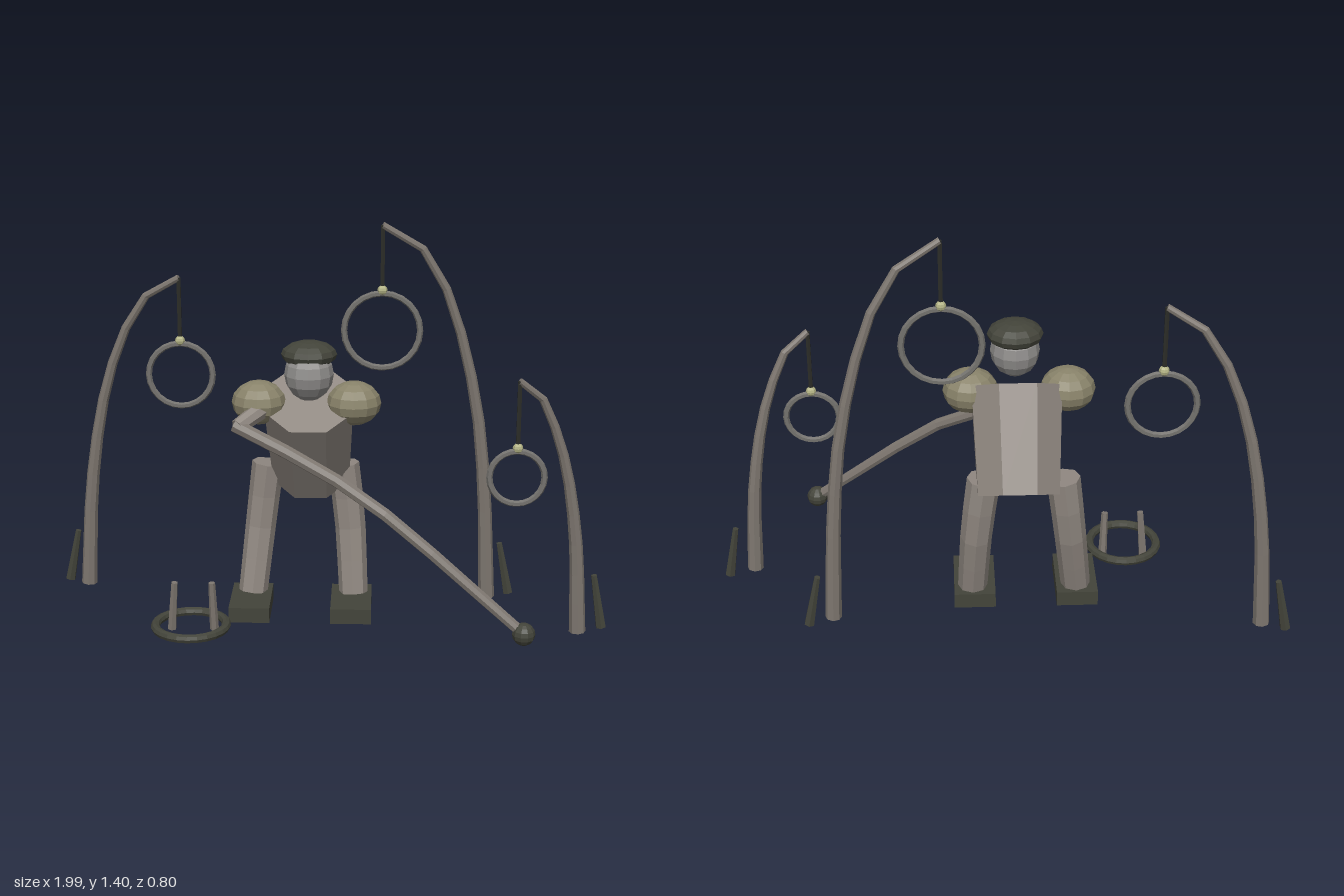
import * as THREE from 'three';

const paint = (name, color) => {
  const m = new THREE.MeshStandardMaterial({ color });
  m.name = name;
  return m;
};
const V = (p) => new THREE.Vector3(...p);

// Faceted copy of a geometry
function facet(geo) {
  const g = geo.index ? geo.toNonIndexed() : geo;
  g.computeVertexNormals();
  return g;
}

// Capped tube through points, its radius running from r0 to r1
function taperedTube(points, r0, r1, segments, sides) {
  const curve = new THREE.CatmullRomCurve3(points.map(V), false, 'centripetal');
  const tube = new THREE.TubeGeometry(curve, segments, 1, sides, false);
  const pos = tube.attributes.position;
  const verts = [];
  const index = [...tube.index.array];
  const p = new THREE.Vector3();
  for (let i = 0; i <= segments; i++) {
    const c = curve.getPointAt(i / segments);
    const r = r0 + (r1 - r0) * (i / segments);
    for (let j = 0; j <= sides; j++) {
      p.fromBufferAttribute(pos, i * (sides + 1) + j).sub(c).multiplyScalar(r).add(c);
      verts.push(p.x, p.y, p.z);
    }
  }
  const start = verts.length / 3;
  const last = segments * (sides + 1);
  verts.push(...curve.getPoint(0).toArray(), ...curve.getPoint(1).toArray());
  for (let j = 0; j < sides; j++) {
    index.push(start, j, j + 1, start + 1, last + j + 1, last + j);
  }
  const g = new THREE.BufferGeometry();
  g.setAttribute('position', new THREE.Float32BufferAttribute(verts, 3));
  g.setIndex(index);
  return g;
}

export function createModel() {
  const body = paint('warm grey', 0x8f8780);
  const wood = paint('pole grey', 0x7d766f);
  const skin = paint('head grey', 0x8f8d8b);
  const hoop = paint('hoop grey', 0x73716d);
  const dark = paint('dark olive', 0x43443a);
  const cord = paint('cord black', 0x2c2d28);
  const olive = paint('shoulder olive', 0x89836a);
  const brass = paint('pale bead', 0xb4b486);

  const model = new THREE.Group();
  model.name = 'hoopPlayer';
  const add = (parent, name, geo, mat, at = [0, 0, 0]) => {
    const m = new THREE.Mesh(facet(geo), mat);
    m.name = name;
    m.position.set(...at);
    parent.add(m);
    return m;
  };
  const ball = (parent, name, mat, at, rx, ry, rz, w = 12, h = 8) =>
    add(parent, name, new THREE.SphereGeometry(1, w, h).scale(rx, ry, rz), mat, at);

  // Figure
  const figure = new THREE.Group();
  figure.name = 'figure';
  model.add(figure);
  const torso = add(figure, 'torso',
    new THREE.CylinderGeometry(0.165, 0.148, 0.369, 8).rotateY(Math.PI / 8), body, [-0.055, 0.653, -0.16]);
  torso.rotation.x = 0.551;
  ball(figure, 'rightShoulder', olive, [-0.23, 0.8, -0.065], 0.095, 0.077, 0.09);
  ball(figure, 'leftShoulder', olive, [0.1, 0.8, -0.065], 0.095, 0.077, 0.09);
  ball(figure, 'head', skin, [-0.053, 0.918, -0.003], 0.085, 0.092, 0.09);
  ball(figure, 'cap', dark, [-0.053, 0.985, -0.015], 0.096, 0.047, 0.088);

  // Legs and feet
  const legs = [
    ['right', [[-0.21, 0.535, -0.215], [-0.235, 0.33, -0.21], [-0.265, 0.06, -0.155]], -0.268],
    ['left', [[0.06, 0.535, -0.21], [0.085, 0.33, -0.205], [0.1, 0.06, -0.155]], 0.093],
  ];
  for (const [side, path, footX] of legs) {
    add(figure, side + 'Leg', taperedTube(path, 0.058, 0.052, 4, 8), body);
    add(figure, side + 'Foot', new THREE.BoxGeometry(0.145, 0.055, 0.245), dark, [footX, 0.0375, -0.097]);
  }

  // Upper arm and the long stick with its knob
  add(figure, 'arm', taperedTube([[-0.19, 0.8, -0.04], [-0.24, 0.775, 0.01], [-0.295, 0.745, 0.06]], 0.034, 0.028, 2, 8), body);
  add(figure, 'stick', taperedTube(
    [[-0.305, 0.75, 0.055], [0, 0.615, 0.15], [0.2, 0.505, 0.235], [0.675, 0.125, 0.36]], 0.025, 0.019, 6, 8), wood);
  ball(figure, 'knob', dark, [0.675, 0.125, 0.36], 0.039, 0.039, 0.039, 10, 8);

  // Hanging hoops: bent pole (x, y pairs, z from base to tip), cord, bead, hoop, ground spike
  const stands = [
    { name: 'rightStand', z: [-0.345, -0.27], hoopR: 0.115, bead: 0.968, spike: [-0.978, -0.94, -0.38],
      path: [[-0.9, 0.01], [-0.87, 0.425], [-0.805, 0.78], [-0.715, 1.02], [-0.61, 1.16], [-0.525, 1.195]] },
    { name: 'tallStand', z: [-0.255, -0.185], hoopR: 0.133, bead: 1.173, spike: [0.672, 0.635, -0.295],
      path: [[0.59, 0.01], [0.565, 0.495], [0.52, 0.82], [0.41, 1.19], [0.3, 1.35], [0.195, 1.4]] },
    { name: 'leftStand', z: [0.06, 0.13], hoopR: 0.093, bead: 0.701, spike: [0.978, 0.945, 0.02],
      path: [[0.89, 0.01], [0.87, 0.35], [0.825, 0.62], [0.77, 0.79], [0.715, 0.895], [0.655, 0.933]] },
  ];
  for (const s of stands) {
    const stand = new THREE.Group();
    stand.name = s.name;
    model.add(stand);
    const [x, top] = s.path[s.path.length - 1];
    const z = s.z[1];
    const x0 = s.path[0][0];
    const path = s.path.map(([px, py]) => [px, py, s.z[0] + (z - s.z[0]) * (px - x0) / (x - x0)]);
    add(stand, 'pole', taperedTube(path, 0.029, 0.012, 9, 8), wood);
    add(stand, 'cord', new THREE.CylinderGeometry(0.008, 0.008, top - s.bead, 6), cord, [x, (top + s.bead) / 2, z]);
    ball(stand, 'bead', brass, [x, s.bead, z], 0.018, 0.018, 0.018, 8, 6);
    add(stand, 'hoop', new THREE.TorusGeometry(s.hoopR, 0.011, 6, 24), hoop, [x, s.bead - s.hoopR - 0.011, z]);
    const [sx, tx, sz] = s.spike;
    add(stand, 'spike', taperedTube([[sx, 0.01, sz], [tx, 0.205, sz]], 0.019, 0.011, 1, 6), dark);
  }

  // Ground ring with two pegs
  const target = new THREE.Group();
  target.name = 'groundTarget';
  model.add(target);
  add(target, 'groundRing', new THREE.TorusGeometry(0.124, 0.016, 8, 24).rotateX(Math.PI / 2), dark, [-0.463, 0.042, 0.125]);
  for (const [bx, tx] of [[-0.535, -0.52], [-0.385, -0.39]]) {
    add(target, 'peg', taperedTube([[bx, 0.01, 0.085], [tx, 0.19, 0.1]], 0.016, 0.012, 1, 6), wood);
  }
  return model;
}
